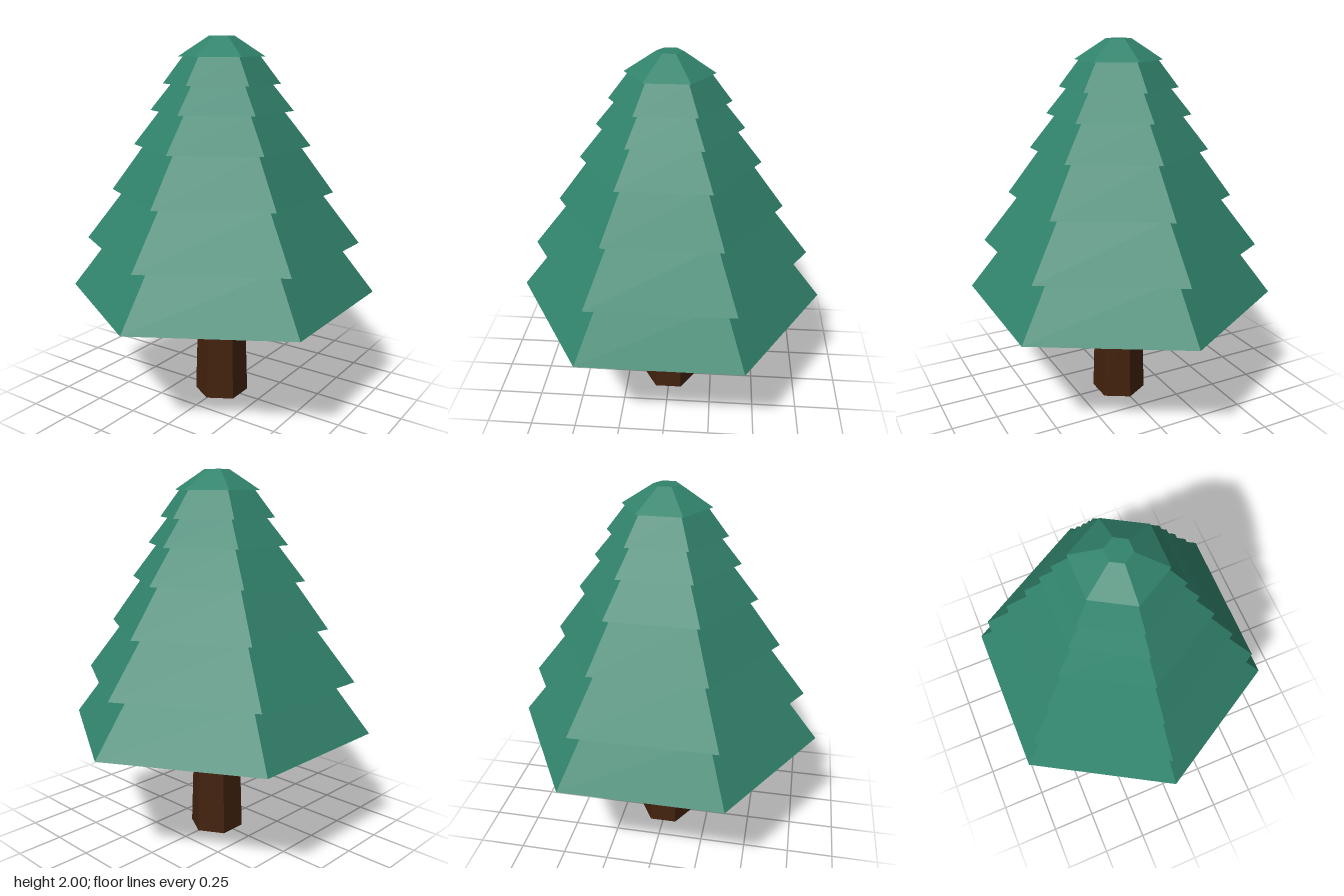
import * as THREE from 'three';

const SIDES = 6;

// Bottom height, top height, bottom radius, top radius of each layer of branches
const TIERS = [
  [0.62, 0.90, 0.845, 0.63],
  [0.90, 1.18, 0.755, 0.537],
  [1.18, 1.43, 0.605, 0.42],
  [1.43, 1.615, 0.477, 0.33],
  [1.615, 1.755, 0.383, 0.268],
  [1.755, 1.895, 0.313, 0.205],
  [1.895, 2.0, 0.23, 0.067],
];

// Six-sided tapered block with corners on the z axis
function taperedHex(name, [y0, y1, r0, r1], material) {
  const geometry = new THREE.CylinderGeometry(r1, r0, y1 - y0, SIDES);
  geometry.translate(0, (y0 + y1) / 2, 0);
  const mesh = new THREE.Mesh(geometry, material);
  mesh.name = name;
  return mesh;
}

export function createModel() {
  const needles = new THREE.MeshStandardMaterial({ color: 0x31836c, flatShading: true });
  needles.name = 'needle green';
  const bark = new THREE.MeshStandardMaterial({ color: 0x43220e, flatShading: true });
  bark.name = 'bark brown';

  const tree = new THREE.Group();
  tree.name = 'pineTree';

  // Trunk
  tree.add(taperedHex('trunk', [0, 0.62, 0.15, 0.13], bark));

  // Overlapping skirts of foliage
  const foliage = new THREE.Group();
  foliage.name = 'foliage';
  TIERS.forEach((tier, i) => foliage.add(taperedHex(`foliageTier${i + 1}`, tier, needles)));
  tree.add(foliage);

  return tree;
}
